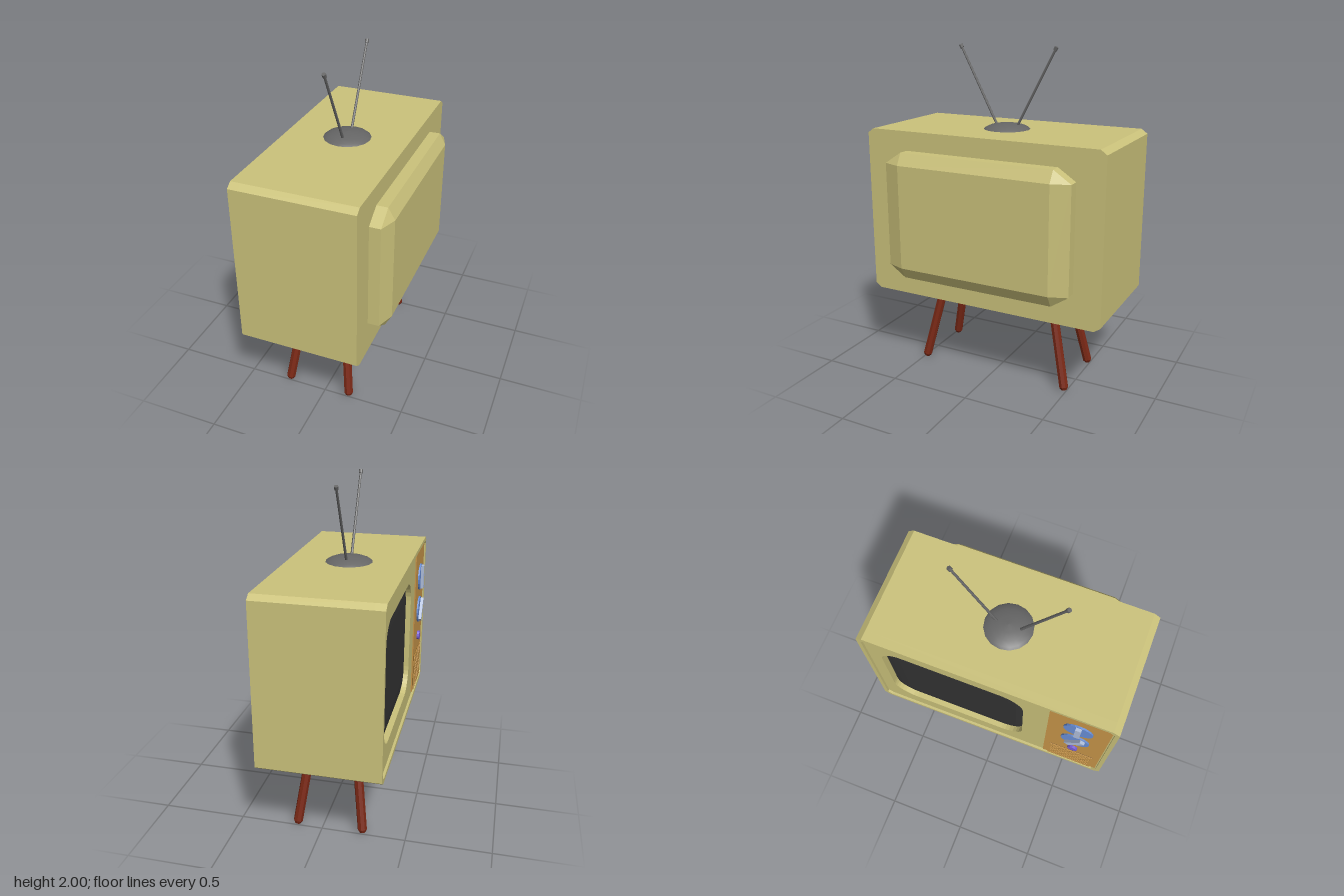
import * as THREE from 'three';
import { ConvexGeometry } from 'three/addons/geometries/ConvexGeometry.js';

const paint = (color, flat = true) => new THREE.MeshStandardMaterial({ color, flatShading: flat });
const V = (x, y, z) => new THREE.Vector3(x, y, z);

export function createModel() {
  const model = new THREE.Group();
  const shell = paint(0xcbc27b), wood = paint(0x7a2815), metal = paint(0x666666);
  const panelWood = paint(0xc8964a), darkWood = paint(0x6b4a1c), glassMat = paint(0x333333);
  const blue = paint(0x6a90d8), paleBlue = paint(0xb0bfdc), purple = paint(0x7a60d8);

  const add = (name, geometry, material, x = 0, y = 0, z = 0, parent = model) => {
    const mesh = new THREE.Mesh(geometry, material);
    mesh.name = name;
    mesh.position.set(x, y, z);
    parent.add(mesh);
    return mesh;
  };
  // Extrudes a (z, y) shape from xBack towards the screen side (-x)
  const slab = (name, shape, xBack, depth, material, options = {}) =>
    add(name, new THREE.ExtrudeGeometry(shape, { depth, bevelEnabled: false, curveSegments: 4, ...options })
      .rotateY(-Math.PI / 2), material, xBack);
  // Straight round bar between two points
  const bar = (name, a, b, rA, rB, sides, material) => {
    const mid = a.clone().add(b).multiplyScalar(0.5);
    const mesh = add(name, new THREE.CylinderGeometry(rB, rA, a.distanceTo(b), sides), material, mid.x, mid.y, mid.z);
    mesh.quaternion.setFromUnitVectors(V(0, 1, 0), b.clone().sub(a).normalize());
    return mesh;
  };
  // Rectangle with chamfered corners, centred on the cabinet
  const midY = 1.0075;
  const chamfered = (w, h, cw, ch) => new THREE.Shape([
    [w - cw, -h], [w, ch - h], [w, h - ch], [w - cw, h],
    [cw - w, h], [-w, h - ch], [-w, ch - h], [cw - w, -h],
  ].map(([z, y]) => new THREE.Vector2(z, midY + y)));
  const rounded = (z0, z1, y0, y1, r) => {
    const s = new THREE.Shape();
    s.moveTo(z0 + r, y0);
    s.lineTo(z1 - r, y0).absarc(z1 - r, y0 + r, r, -Math.PI / 2, 0);
    s.lineTo(z1, y1 - r).absarc(z1 - r, y1 - r, r, 0, Math.PI / 2);
    s.lineTo(z0 + r, y1).absarc(z0 + r, y1 - r, r, Math.PI / 2, Math.PI);
    s.lineTo(z0, y0 + r).absarc(z0 + r, y0 + r, r, Math.PI, Math.PI * 1.5);
    return s;
  };

  // Cabinet with a raised rim around the recessed face
  slab('cabinet', chamfered(0.75, 0.5075, 0.037, 0.027), 0.31, 0.65, shell);
  const rim = chamfered(0.75, 0.5075, 0.037, 0.027);
  rim.holes.push(chamfered(0.725, 0.4825, 0.03, 0.022));
  slab('cabinetRim', rim, -0.34, 0.06, shell);
  const face = chamfered(0.725, 0.4825, 0.03, 0.022);
  face.holes.push(rounded(-0.645, 0.215, 0.65, 1.37, 0.14));
  slab('facePlate', face, -0.34, 0.045, shell);

  // Bulging screen glass
  slab('screen', rounded(-0.645, 0.215, 0.65, 1.37, 0.14), -0.339, 0.005, glassMat,
    { bevelEnabled: true, bevelThickness: 0.02, bevelSize: 0.1, bevelOffset: -0.1, bevelSegments: 3 });

  // Rear housing: straight octagonal wall tapering to a rectangle
  const housing = [];
  for (const sz of [-1, 1]) for (const sy of [-1, 1]) {
    for (const x of [0.3, 0.375]) housing.push(
      V(x, 1.015 + sy * 0.315, sz * 0.585), V(x, 1.015 + sy * 0.385, sz * 0.48));
    housing.push(V(0.414, 1.015 + sy * 0.315, sz * 0.478));
  }
  add('rearHousing', new ConvexGeometry(housing), shell);

  // Control panel
  add('controlPanel', new THREE.BoxGeometry(0.008, 0.935, 0.352), panelWood, -0.388, midY, 0.541);
  [[1.292, 0], [1.07, 0.62]].forEach(([y, tilt], i) => {
    const knob = new THREE.Group();
    knob.name = i ? 'lowerDial' : 'upperDial';
    knob.position.set(-0.39, y, 0.54);
    knob.rotation.x = tilt;
    model.add(knob);
    add('dialDisc', new THREE.CylinderGeometry(0.085, 0.085, 0.024, 20).rotateZ(Math.PI / 2), blue, 0, 0, 0, knob);
    add('dialGrip', new THREE.BoxGeometry(0.025, 0.15, 0.034), paleBlue, -0.0175, 0, 0, knob);
  });
  add('button', new THREE.CylinderGeometry(0.03, 0.03, 0.02, 12).rotateZ(Math.PI / 2), purple, -0.398, 0.885, 0.54);

  // Speaker grille with staggered holes
  add('grilleBacking', new THREE.BoxGeometry(0.004, 0.24, 0.28), darkWood, -0.392, 0.665, 0.54);
  const grille = new THREE.Shape([[0.4, 0.545], [0.68, 0.545], [0.68, 0.785], [0.4, 0.785]]
    .map(([z, y]) => new THREE.Vector2(z, y)));
  for (let row = 0; row < 9; row++) for (let col = 0; col < 10 - (row % 2); col++) {
    grille.holes.push(new THREE.Path().absarc(
      0.418 + 0.027 * (col + (row % 2) / 2), 0.561 + row * 0.026, 0.009, 0, Math.PI * 2, true));
  }
  slab('speakerGrille', grille, -0.394, 0.004, panelWood, { curveSegments: 3 });

  // Stand: rectangular sections shrinking downwards
  const sections = [[0.5, 0.275, 0.635], [0.475, 0.275, 0.635], [0.445, 0.235, 0.53], [0.42, 0.185, 0.4], [0.402, 0.13, 0.28]];
  const pos = [], idx = [];
  for (const [y, a, b] of sections) pos.push(-a, y, -b, a, y, -b, a, y, b, -a, y, b);
  for (let s = 0; s < sections.length - 1; s++) for (let k = 0; k < 4; k++) {
    const p = s * 4 + k, q = s * 4 + (k + 1) % 4;
    idx.push(p, q, p + 4, q, q + 4, p + 4);
  }
  const e = (sections.length - 1) * 4;
  idx.push(0, 2, 1, 0, 3, 2, e, e + 1, e + 2, e, e + 2, e + 3);
  const stand = new THREE.BufferGeometry();
  stand.setAttribute('position', new THREE.Float32BufferAttribute(pos, 3));
  stand.setIndex(idx);
  const standGeometry = stand.toNonIndexed();
  standGeometry.computeVertexNormals();
  add('stand', standGeometry, wood, -0.045);

  // Splayed legs with tapered feet
  for (const sx of [-1, 1]) for (const sz of [-1, 1]) {
    const at = (y) => V(-0.045 + sx * (0.2 - 0.131 * y), y, sz * (0.487 - 0.225 * y));
    bar('leg', at(0.022), at(0.45), 0.028, 0.028, 8, wood);
    bar('foot', at(0.004), at(0.022), 0.017, 0.028, 8, wood);
  }

  // Antenna: shallow dome and two rods
  const dome = [[0.14, 0], [0.125, 0.012], [0.095, 0.024], [0.05, 0.033], [0, 0.036]];
  add('antennaBase', new THREE.LatheGeometry(dome.map(([r, y]) => new THREE.Vector2(r, y)), 16),
    paint(0x666666, false), -0.045, 1.514, 0);
  for (const sz of [-1, 1]) {
    const low = V(-0.045, 1.53, sz * 0.065), high = V(-0.045, 1.995, sz * 0.309);
    bar('antennaRod', low, high, 0.008, 0.007, 8, metal);
    bar('antennaTip', low.clone().lerp(high, 0.96), high, 0.012, 0.012, 8, metal);
  }
  return model;
}
